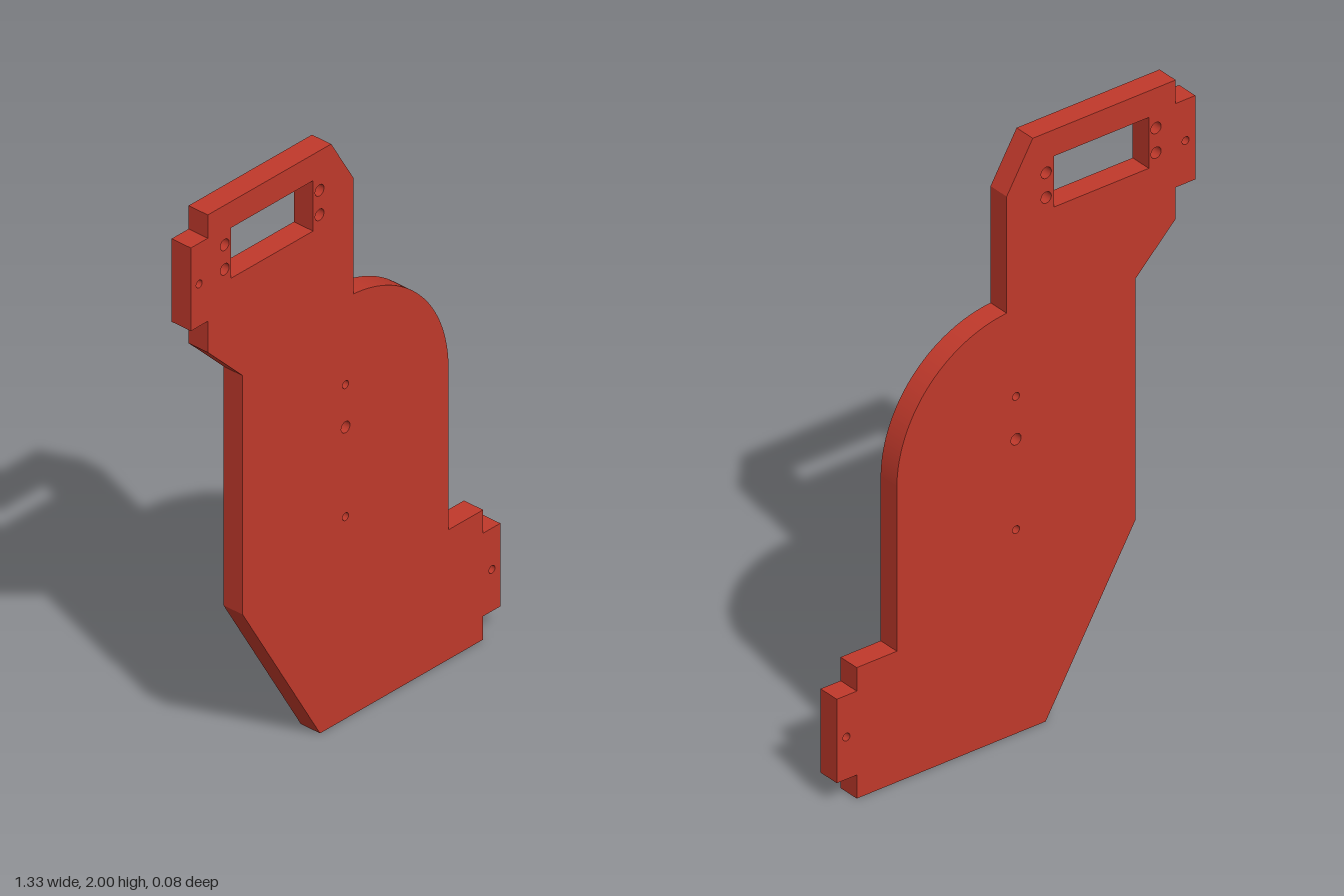
import * as THREE from 'three';

const THICKNESS = 0.076;
const ARC_RADIUS = 0.443;

// Plate outline, counter-clockwise from the bottom left corner
function plateOutline() {
  const shape = new THREE.Shape();
  const lines = (points) => points.forEach(([x, y]) => shape.lineTo(x, y));
  shape.moveTo(-0.11, 0);
  // foot with its side tab
  lines([[0.592, 0], [0.592, 0.08], [0.666, 0.08], [0.666, 0.365], [0.592, 0.365], [0.592, 0.445],
    [ARC_RADIUS, 0.445], [ARC_RADIUS, 1]]);
  // rounded shoulder
  shape.absarc(0, 1, ARC_RADIUS, 0, Math.acos(0.035 / ARC_RADIUS), false);
  // head with its side tab, then the tapered left edge
  lines([[0.035, 1.838], [-0.062, 2], [-0.593, 2], [-0.593, 1.92], [-0.666, 1.92], [-0.666, 1.635],
    [-0.593, 1.635], [-0.593, 1.528], [-0.443, 1.38], [-0.443, 0.56]]);
  shape.closePath();
  return shape;
}

function roundHole(x, y, r) {
  const hole = new THREE.Path();
  hole.absarc(x, y, r, 0, Math.PI * 2, true);
  return hole;
}

function rectHole(x0, y0, x1, y1) {
  return new THREE.Path([[x0, y0], [x0, y1], [x1, y1], [x1, y0]].map(([x, y]) => new THREE.Vector2(x, y)));
}

export function createModel() {
  const group = new THREE.Group();
  group.name = 'mountingPlate';

  const shape = plateOutline();
  // rectangular window and its four screw holes
  shape.holes.push(rectHole(-0.493, 1.737, -0.14, 1.91));
  for (const x of [-0.52, -0.112]) {
    for (const y of [1.78, 1.864]) shape.holes.push(roundHole(x, y, 0.019));
  }
  // central pivot hole, holes above and below it, and tab holes
  shape.holes.push(roundHole(0, 1, 0.019));
  for (const [x, y] of [[0, 1.146], [0, 0.693], [-0.63, 1.78], [0.63, 0.223]]) {
    shape.holes.push(roundHole(x, y, 0.013));
  }

  const geometry = new THREE.ExtrudeGeometry(shape, { depth: THICKNESS, bevelEnabled: false, curveSegments: 40 });
  geometry.translate(0, 0, -THICKNESS / 2);
  const plate = new THREE.Mesh(geometry, new THREE.MeshStandardMaterial({ color: 0xc0392b }));
  plate.name = 'plate';
  group.add(plate);
  return group;
}
